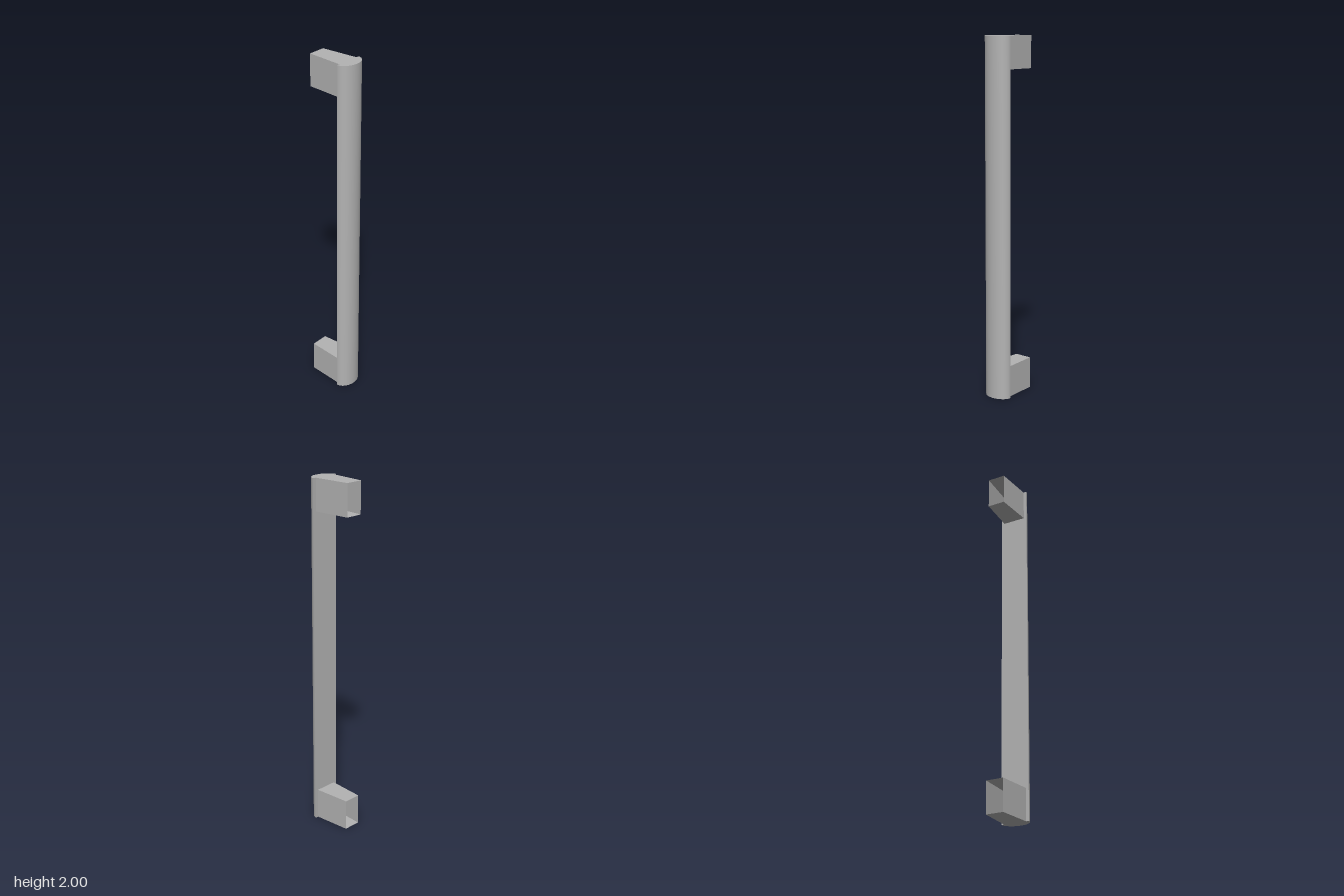
import * as THREE from 'three';

const HEIGHT = 2, HALF_WIDTH = 0.082, BACK_Z = 0.075, DEPTH = 0.061;
const MOUNT_HEIGHT = 0.178, MOUNT_END_Z = -0.137;

// Four-walled tapering sleeve, open at both ends
function mountGeometry() {
  const length = BACK_Z - MOUNT_END_Z;
  const geo = new THREE.BoxGeometry(2, MOUNT_HEIGHT, length);
  geo.setIndex(Array.from(geo.index.array.slice(0, 24))); // drop front and back walls
  geo.clearGroups();
  const pos = geo.attributes.position;
  for (let i = 0; i < pos.count; i++) {
    const halfWidth = pos.getZ(i) > 0 ? 0.065 : 0.05;
    pos.setX(i, Math.sign(pos.getX(i)) * halfWidth);
  }
  geo.translate(0, 0, (BACK_Z + MOUNT_END_Z) / 2);
  geo.computeVertexNormals();
  return geo;
}

export function createModel() {
  const group = new THREE.Group();
  group.name = 'pullHandle';
  const metal = new THREE.MeshStandardMaterial({ color: 0xb3b3b3, side: THREE.DoubleSide });
  metal.name = 'satinGrey';

  const add = (name, geo, y, z = 0) => {
    const mesh = new THREE.Mesh(geo, metal);
    mesh.name = name;
    mesh.position.set(0, y, z);
    group.add(mesh);
  };

  // Half-round grip with its end caps
  const grip = new THREE.CylinderGeometry(1, 1, HEIGHT, 16, 1, false, -Math.PI / 2, Math.PI);
  grip.scale(HALF_WIDTH, 1, DEPTH);
  add('gripBar', grip, HEIGHT / 2, BACK_Z);

  // Flat back of the grip
  const back = new THREE.PlaneGeometry(HALF_WIDTH * 2, HEIGHT).rotateY(Math.PI);
  add('gripBack', back, HEIGHT / 2, BACK_Z);

  // Hollow mounts, flush with the two ends
  const mount = mountGeometry();
  add('lowerMount', mount, MOUNT_HEIGHT / 2);
  add('upperMount', mount, HEIGHT - MOUNT_HEIGHT / 2);

  return group;
}
